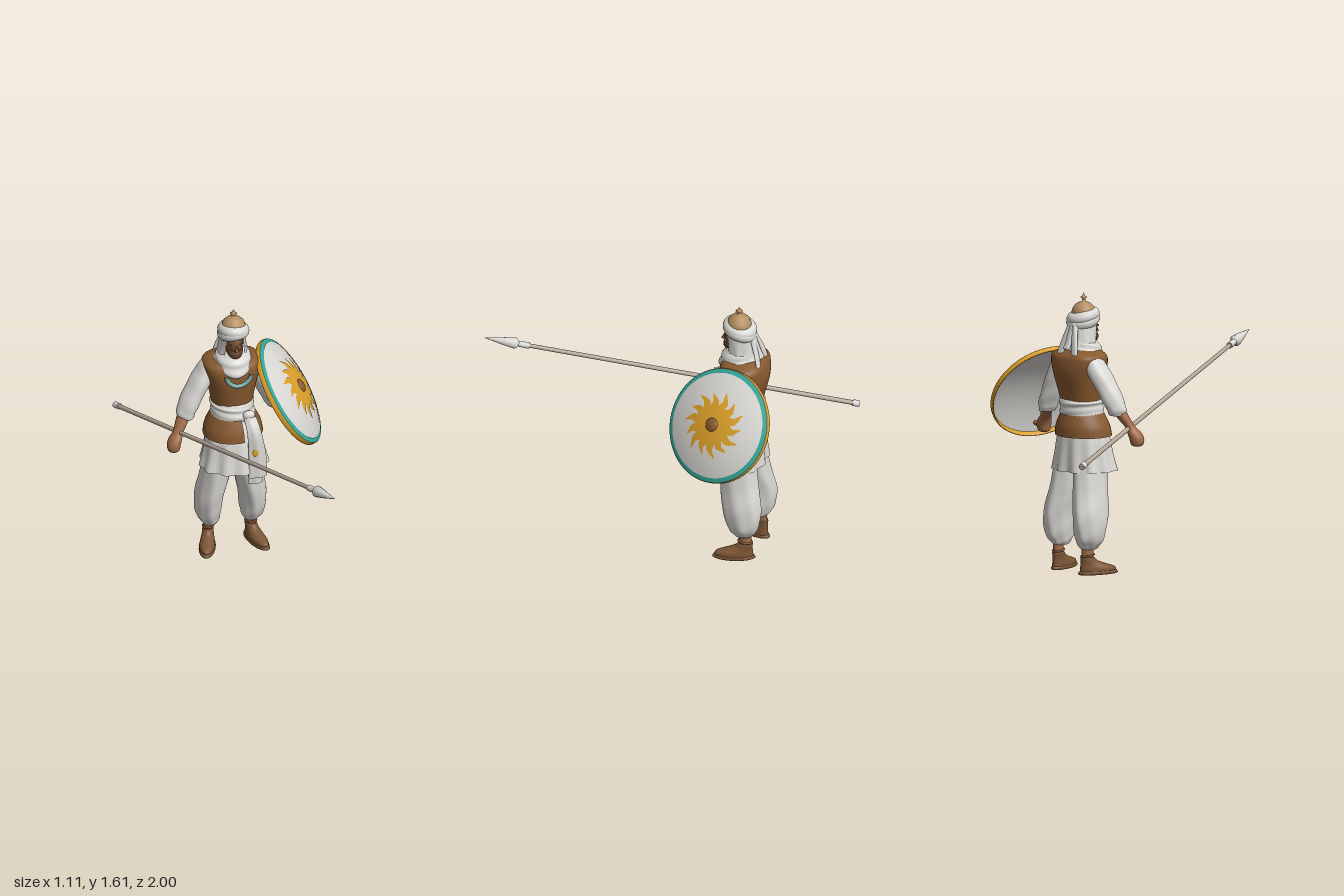
import * as THREE from 'three';

const mat = (name, hex, two) => {
  const m = new THREE.MeshStandardMaterial({ color: hex });
  m.name = name;
  if (two) m.side = THREE.DoubleSide;
  return m;
};

export function createModel() {
  const M = {
    cloth: mat('white cloth', 0xdad8d4, true),
    leather: mat('brown leather', 0x87592f, true),
    skin: mat('skin', 0xa16b46),
    beard: mat('dark beard', 0x64432a),
    shoe: mat('shoe brown', 0x7a5433),
    helmet: mat('tan helmet', 0xb48e62),
    teal: mat('teal', 0x35a599, true),
    bead: mat('pale teal', 0x7fb0a8),
    gold: mat('gold', 0xdba028, true),
    wood: mat('pale wood', 0xb5a697),
  };
  const root = new THREE.Group();
  const CX = 0.025;
  const add = (name, geo, m, parent = root) => {
    const mesh = new THREE.Mesh(geo, m);
    mesh.name = name;
    parent.add(mesh);
    return mesh;
  };

  // Smooth skin over elliptical sections [y, cx, cz, rx, rz], listed bottom to top.
  // fold(angle, v) scales the radius; from/to leave the ring open.
  function loft(sections, { fold = () => 1, from = 0, to = Math.PI * 2, seg = 32, rows = 24 } = {}) {
    const mid = new THREE.CatmullRomCurve3(sections.map(s => new THREE.Vector3(s[1], s[0], s[2])), false, 'catmullrom');
    const rad = new THREE.CatmullRomCurve3(sections.map(s => new THREE.Vector3(s[3], s[4], 0)), false, 'catmullrom');
    const closed = to - from > 6.28, cols = closed ? seg : seg + 1;
    const pos = [], idx = [];
    for (let i = 0; i <= rows; i++) {
      const v = i / rows, c = mid.getPoint(v), r = rad.getPoint(v);
      for (let j = 0; j < cols; j++) {
        const a = from + (to - from) * j / seg, k = fold(a, v);
        pos.push(c.x + Math.max(r.x, 0.001) * k * Math.sin(a), c.y, c.z + Math.max(r.y, 0.001) * k * Math.cos(a));
      }
    }
    for (let i = 0; i < rows; i++) for (let j = 0; j < seg; j++) {
      const a = i * cols + j, b = i * cols + (j + 1) % cols;
      idx.push(a, b, a + cols, b, b + cols, a + cols);
    }
    const g = new THREE.BufferGeometry();
    g.setAttribute('position', new THREE.Float32BufferAttribute(pos, 3));
    g.setIndex(idx);
    g.computeVertexNormals();
    return g;
  }

  // Torso clothing; the vest is squarer towards the shoulders
  add('vest', loft([[0.96, CX, -0.5, 0.115, 0.105], [1.05, CX, -0.505, 0.13, 0.12], [1.15, CX, -0.51, 0.15, 0.138],
    [1.22, CX, -0.51, 0.168, 0.135], [1.265, CX, -0.51, 0.158, 0.118], [1.3, CX, -0.5, 0.07, 0.07]],
    { seg: 48, fold: (a, v) => 1 + 0.13 * v * Math.sin(2 * a) ** 2 }), M.leather);
  add('waistSash', loft([[0.9, CX, -0.49, 0.118, 0.115], [0.92, CX, -0.49, 0.128, 0.126], [0.96, CX, -0.495, 0.122, 0.122],
    [0.99, CX, -0.5, 0.128, 0.125], [1.01, CX, -0.5, 0.113, 0.108]],
    { fold: (a, v) => 1 + 0.02 * Math.sin(v * 22 + 2 * Math.sin(a)) }), M.cloth);
  add('leatherSkirt', loft([[0.79, CX, -0.48, 0.174, 0.155], [0.85, CX, -0.485, 0.163, 0.147], [0.93, CX, -0.49, 0.122, 0.118]],
    { from: 0.5, to: Math.PI * 2 + 0.2 }), M.leather);
  add('tunicSkirt', loft([[0.59, CX, -0.47, 0.195, 0.168], [0.68, CX, -0.475, 0.175, 0.155], [0.8, CX, -0.48, 0.155, 0.138],
    [0.92, CX, -0.49, 0.115, 0.11]],
    { seg: 72, fold: (a, v) => 1 + 0.055 * (1 - v) * (Math.sin(11 * a) + 0.5 * Math.sin(5 * a + 1)) }), M.cloth);

  // Hanging sash with its knot and painted spot
  const sashFold = (a, v) => 1 + 0.08 * Math.sin(5 * a + v * 3);
  add('sashEndUpper', loft([[0.555, 0.13, -0.325, 0.054, 0.02], [0.7, 0.13, -0.325, 0.05, 0.019], [0.85, 0.115, -0.328, 0.04, 0.02],
    [0.94, 0.1, -0.37, 0.035, 0.02]], { fold: sashFold }), M.cloth);
  add('sashEndLower', loft([[0.5, 0.125, -0.352, 0.04, 0.018], [0.62, 0.125, -0.345, 0.038, 0.016]], { fold: sashFold }), M.cloth);
  const knot = add('sashKnot', new THREE.SphereGeometry(0.03, 20, 14), M.cloth);
  knot.position.set(0.095, 0.945, -0.375);
  knot.scale.set(1.2, 0.9, 0.8);
  const spot = add('sashSpot', new THREE.SphereGeometry(0.022, 16, 10), M.gold);
  spot.position.set(0.117, 0.725, -0.306);
  spot.scale.set(0.85, 1.1, 0.22);

  // Trousers and shoes, mirrored
  for (const s of [1, -1]) {
    const side = s > 0 ? 'left' : 'right', X = d => CX + s * d;
    add(side + 'Trouser', loft([[0.145, X(0.12), -0.545, 0.035, 0.045], [0.165, X(0.122), -0.545, 0.05, 0.065],
      [0.22, X(0.13), -0.545, 0.071, 0.095], [0.34, X(0.126), -0.535, 0.081, 0.116], [0.48, X(0.1), -0.515, 0.084, 0.112],
      [0.63, X(0.082), -0.5, 0.083, 0.108]],
      { seg: 48, fold: (a, v) => 1 + 0.04 * Math.sin(7 * a + 5 * v) * (1 - v * 0.6) + 0.03 * Math.sin(3 * a - 26 * v) * (1 - v) }), M.cloth);
    const foot = new THREE.Group();
    foot.name = side + 'Foot';
    foot.position.set(X(0.126), 0, -0.56);
    foot.rotation.y = s * 0.3;
    root.add(foot);
    add('sole', loft([[0, 0, 0.065, 0.001, 0.001], [0.001, 0, 0.065, 0.044, 0.114], [0.018, 0, 0.065, 0.047, 0.118],
      [0.022, 0, 0.065, 0.04, 0.11]], { rows: 9 }), M.shoe, foot);
    add('shoeUpper', loft([[0.018, 0, 0.065, 0.045, 0.112], [0.04, 0, 0.062, 0.043, 0.107], [0.06, 0, 0.035, 0.037, 0.078],
      [0.08, 0, 0.01, 0.033, 0.052], [0.1, 0, 0, 0.03, 0.041], [0.105, 0, 0, 0.01, 0.01]]), M.shoe, foot);
    add('ankle', loft([[0.08, 0, 0, 0.026, 0.036], [0.17, 0, 0, 0.027, 0.036]], { rows: 4 }), M.skin, foot);
    const strap = add('shoeStrap', new THREE.TorusGeometry(0.029, 0.006, 8, 24), M.shoe, foot);
    strap.rotation.x = Math.PI / 2 - 0.15;
    strap.scale.y = 1.28;
    strap.position.y = 0.112;
  }

  // Arms
  const wrinkle = (a, v) => 1 + 0.04 * Math.sin(30 * v + 2 * Math.sin(a)) * (1 - v) + 0.03 * Math.sin(4 * a + 6 * v);
  add('rightSleeve', loft([[0.935, -0.255, -0.465, 0.048, 0.05], [0.99, -0.243, -0.475, 0.062, 0.064], [1.1, -0.187, -0.495, 0.066, 0.07],
    [1.2, -0.125, -0.515, 0.062, 0.07], [1.25, -0.1, -0.52, 0.047, 0.05], [1.262, -0.09, -0.52, 0.01, 0.01]], { fold: wrinkle }), M.cloth);
  add('rightForearm', loft([[0.755, -0.343, -0.395, 0.005, 0.005], [0.765, -0.343, -0.395, 0.032, 0.035], [0.8, -0.342, -0.397, 0.04, 0.044],
    [0.835, -0.33, -0.405, 0.038, 0.042], [0.87, -0.31, -0.42, 0.031, 0.03], [0.93, -0.277, -0.45, 0.039, 0.036],
    [0.99, -0.25, -0.47, 0.04, 0.036]]), M.skin);
  add('leftSleeve', loft([[0.9, 0.28, -0.53, 0.042, 0.05], [0.95, 0.268, -0.53, 0.056, 0.064], [1.05, 0.227, -0.525, 0.062, 0.07],
    [1.16, 0.18, -0.52, 0.056, 0.072], [1.23, 0.15, -0.52, 0.046, 0.055], [1.262, 0.135, -0.52, 0.01, 0.01]], { fold: wrinkle }), M.cloth);
  add('leftForearm', loft([[0.75, 0.398, -0.45, 0.005, 0.005], [0.76, 0.398, -0.45, 0.032, 0.034], [0.795, 0.398, -0.452, 0.041, 0.043],
    [0.83, 0.38, -0.462, 0.038, 0.042], [0.86, 0.35, -0.48, 0.033, 0.03], [0.91, 0.3, -0.515, 0.037, 0.034],
    [0.96, 0.27, -0.53, 0.04, 0.036]]), M.skin);

  // Necklace across the chest
  const necklace = add('necklace', new THREE.TorusGeometry(0.073, 0.013, 8, 32, Math.PI), M.bead);
  necklace.position.set(0.035, 1.228, -0.368);
  necklace.rotation.set(0.08, 0, Math.PI);
  necklace.scale.y = 1.05;

  // Head
  const head = add('head', new THREE.SphereGeometry(1, 28, 20), M.shoe);
  head.scale.set(0.054, 0.085, 0.085);
  head.position.set(CX, 1.41, -0.47);
  add('beard', loft([[1.315, CX, -0.427, 0.008, 0.01], [1.33, CX, -0.427, 0.032, 0.042], [1.355, CX, -0.437, 0.047, 0.058],
    [1.38, CX, -0.447, 0.05, 0.058]]), M.beard);
  const nose = add('nose', new THREE.ConeGeometry(0.013, 0.045, 8), M.shoe);
  nose.position.set(CX, 1.4, -0.384);
  nose.rotation.x = -0.2;
  for (const s of [1, -1]) {
    const brow = add('eyebrow', new THREE.BoxGeometry(0.028, 0.009, 0.008), M.beard);
    brow.position.set(CX + s * 0.023, 1.418, -0.396);
    brow.rotation.set(0, s * 0.3, s * -0.12);
  }

  // Scarf, veil, turban and its tails
  add('neckScarf', loft([[1.195, CX, -0.465, 0.04, 0.09], [1.22, CX, -0.47, 0.088, 0.113], [1.265, CX, -0.48, 0.115, 0.113],
    [1.3, CX, -0.485, 0.103, 0.103], [1.33, CX, -0.49, 0.086, 0.088], [1.345, CX, -0.495, 0.06, 0.065]],
    { seg: 48, fold: (a, v) => 1 + 0.035 * Math.sin(v * 20 + 3 * Math.cos(a)) }), M.cloth);
  add('veil', loft([[1.27, CX, -0.5, 0.1, 0.095], [1.34, CX, -0.495, 0.085, 0.085], [1.44, CX, -0.485, 0.07, 0.088]],
    { from: 0.75, to: Math.PI * 2 - 0.75, fold: (a, v) => 1 + 0.05 * (1 - v) * Math.sin(9 * a) }), M.cloth);
  for (const [r, y, tilt, roll] of [[0.058, 1.455, 0.3, 0.08], [0.056, 1.475, 0.22, -0.12]]) {
    const wrap = add('turbanWrap', new THREE.TorusGeometry(r, 0.035, 14, 40), M.cloth);
    wrap.position.set(CX + 0.003, y, -0.48);
    wrap.rotation.set(Math.PI / 2 - tilt, roll, 0);
    wrap.scale.set(1, 1.1, 1.05);
  }
  for (const [dx, end] of [[-0.045, 1.25], [0.035, 1.27], [0, 1.3]])
    add('turbanTail', loft([[end, CX + dx * 1.5, -0.612, 0.026, 0.01], [1.34, CX + dx * 1.1, -0.592, 0.022, 0.012],
      [1.45, CX + dx * 0.4, -0.555, 0.016, 0.016]], { fold: sashFold, seg: 16, rows: 10 }), M.cloth);

  // Helmet with pointed finial
  const V = (x, y) => new THREE.Vector2(x, y);
  const helmet = add('helmet', new THREE.LatheGeometry([V(0.072, 1.46), V(0.071, 1.5), V(0.062, 1.527), V(0.042, 1.548), V(0.02, 1.558),
    V(0.01, 1.562), V(0.009, 1.572), V(0.02, 1.583), V(0.009, 1.592), V(0, 1.61)], 28), M.helmet);
  helmet.position.set(CX + 0.003, 0, -0.475);

  // Round shield, built facing +y and then turned outward
  const shield = new THREE.Group();
  shield.name = 'shield';
  shield.position.set(0.361, 1.003, -0.479);
  shield.quaternion.setFromUnitVectors(new THREE.Vector3(0, 1, 0), new THREE.Vector3(0.81, 0.53, 0.25).normalize());
  root.add(shield);
  const R = 0.328, dome = r => 0.075 * (1 - (r / R) ** 2);
  const band = (name, r0, r1, lift, m) => add(name, new THREE.LatheGeometry(
    Array.from({ length: 11 }, (_, i) => { const r = r0 + (r1 - r0) * i / 10; return V(r, dome(r) + lift); }), 64), m, shield);
  band('shieldFace', 0.322, 0, 0, M.cloth);
  band('tealBand', 0.328, 0.303, 0.004, M.teal);
  band('sunDisc', 0.118, 0, 0.004, M.gold);
  add('shieldRim', new THREE.LatheGeometry([V(0.318, 0.002), V(0.32, -0.026), V(0.327, -0.027), V(0.331, -0.02), V(0.331, 0),
    V(0.327, 0.004)], 64), M.gold, shield);
  add('shieldBoss', new THREE.LatheGeometry([V(0.042, dome(0.042)), V(0.038, 0.083), V(0.024, 0.09), V(0, 0.093)], 20), M.leather, shield);

  // Wavy sun rays following the dome
  const rays = 14, steps = 10, pos = [], idx = [];
  for (let k = 0; k < rays; k++) for (let i = 0; i <= steps; i++) {
    const t = i / steps, r = 0.112 + t * (k % 2 ? 0.074 : 0.088);
    const mid = k / rays * Math.PI * 2 + 0.08 * Math.sin(t * 5), half = 0.025 * (1 - t ** 1.6) / r;
    for (const a of [mid - half, mid + half]) pos.push(r * Math.cos(a), dome(r) + 0.004, r * Math.sin(a));
    if (i < steps) {
      const a = (k * (steps + 1) + i) * 2;
      idx.push(a, a + 1, a + 2, a + 1, a + 3, a + 2);
    }
  }
  const sun = new THREE.BufferGeometry();
  sun.setAttribute('position', new THREE.Float32BufferAttribute(pos, 3));
  sun.setIndex(idx);
  sun.computeVertexNormals();
  add('sunRays', sun, M.gold, shield);

  // Hand grip from the fist to the back of the shield
  const grip = new THREE.CatmullRomCurve3([[0.40, 0.9, -0.43], [0.385, 0.83, -0.44], [0.4, 0.78, -0.45], [0.47, 0.8, -0.46]]
    .map(p => new THREE.Vector3(...p)));
  add('shieldGrip', new THREE.TubeGeometry(grip, 16, 0.013, 8), M.leather);

  // Spear, built along +y from its butt
  const butt = new THREE.Vector3(-0.54, 0.73, -0.992), tip = new THREE.Vector3(0.265, 1.2, 0.998);
  const L = butt.distanceTo(tip);
  const spear = new THREE.Group();
  spear.name = 'spear';
  spear.position.copy(butt);
  spear.quaternion.setFromUnitVectors(new THREE.Vector3(0, 1, 0), tip.clone().sub(butt).normalize());
  root.add(spear);
  add('spearShaft', new THREE.CylinderGeometry(0.012, 0.014, L - 0.2, 12), M.wood, spear).position.y = (L - 0.2) / 2;
  add('spearButt', new THREE.CylinderGeometry(0.019, 0.019, 0.04, 12), M.cloth, spear).position.y = 0.02;
  add('spearSocket', new THREE.CylinderGeometry(0.016, 0.019, 0.07, 12), M.cloth, spear).position.y = L - 0.23;
  add('spearHead', new THREE.LatheGeometry([V(0.014, L - 0.205), V(0.034, L - 0.185), V(0.024, L - 0.12), V(0, L)], 10), M.cloth, spear);

  return root;
}
